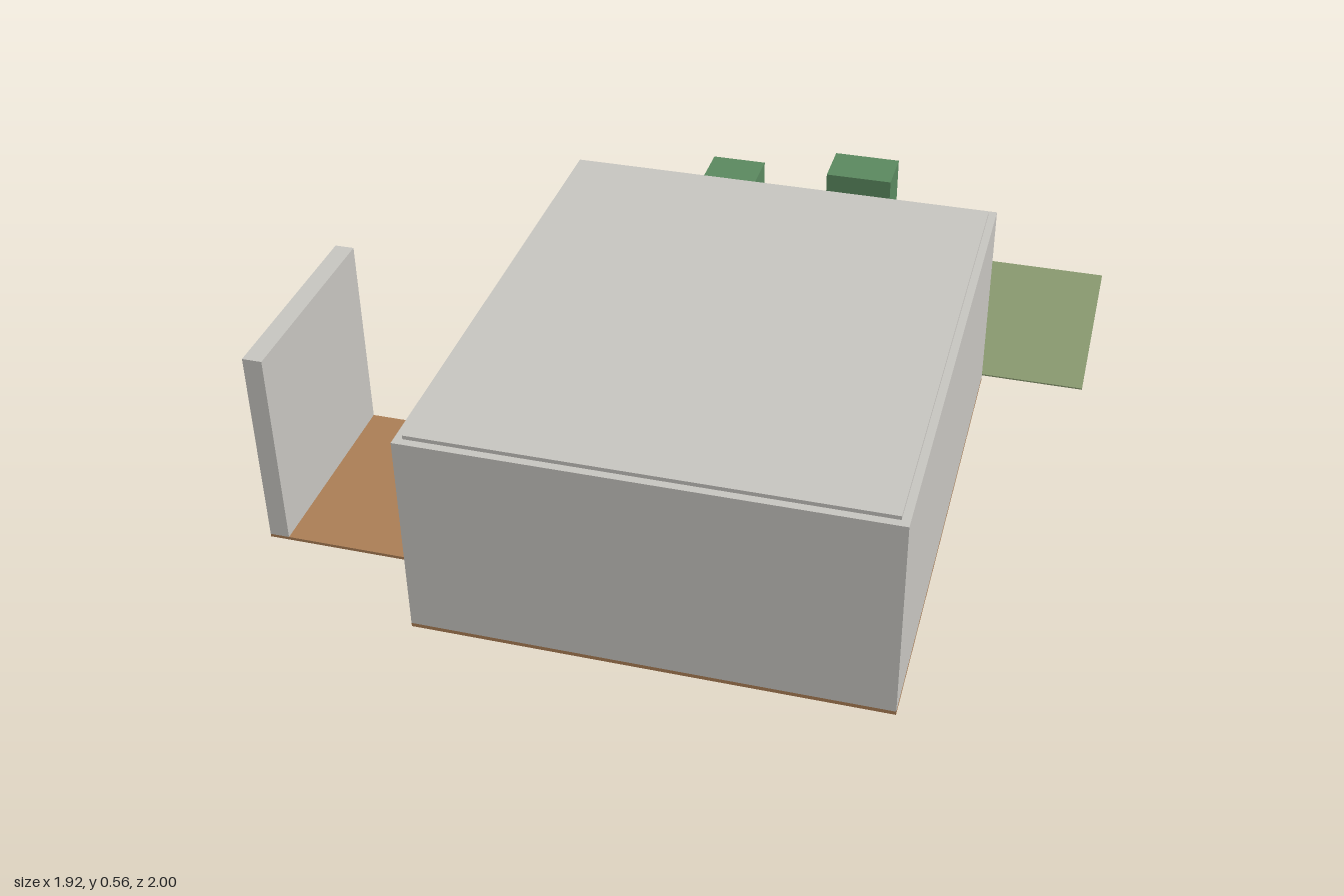
import * as THREE from 'three';

const mat = (name, color) => new THREE.MeshStandardMaterial({ name, color });

export function createModel() {
  const model = new THREE.Group();
  model.name = 'gardenPavilion';
  const plaster = mat('plaster', 0xc9c7c2);
  const wood = mat('wood', 0xad7f56);
  const grass = mat('grass', 0x8a9a70);
  const leaf = mat('leaf', 0x5c8a60);
  const white = mat('cabinetWhite', 0xd8d8d6);
  const dark = mat('darkFitting', 0x4c4a48);

  const WALL = 0.03, FLOOR = 0.01, TOP = 0.545;

  // box given by its min and max on each axis
  function box(name, material, x0, x1, y0, y1, z0, z1, parent = model) {
    const mesh = new THREE.Mesh(new THREE.BoxGeometry(x1 - x0, y1 - y0, z1 - z0), material);
    mesh.position.set((x0 + x1) / 2, (y0 + y1) / 2, (z0 + z1) / 2);
    mesh.name = name;
    parent.add(mesh);
    return mesh;
  }

  // wall outline with doorways cut up from the floor
  function wallWithDoorways(name, u0, u1, doorways) {
    const shape = new THREE.Shape();
    shape.moveTo(u0, FLOOR);
    for (const [a, b, h] of doorways) {
      shape.lineTo(a, FLOOR);
      shape.lineTo(a, h);
      shape.lineTo(b, h);
      shape.lineTo(b, FLOOR);
    }
    shape.lineTo(u1, FLOOR);
    shape.lineTo(u1, TOP);
    shape.lineTo(u0, TOP);
    const mesh = new THREE.Mesh(
      new THREE.ExtrudeGeometry(shape, { depth: WALL, bevelEnabled: false }), plaster);
    mesh.name = name;
    model.add(mesh);
    return mesh;
  }

  // floors and lawn
  box('floor', wood, -0.49, 0.68, 0, FLOOR, -0.365, 1);
  box('terrace', wood, -0.96, -0.49, 0.002, FLOOR, 0.24, 0.78);
  box('lawn', grass, -0.315, 0.96, 0.004, 0.008, -1, -0.38);

  // plain walls
  box('frontWall', plaster, -0.49, 0.68, FLOOR, TOP, 1 - WALL, 1);
  box('leftWall', plaster, 0.68 - WALL, 0.68, FLOOR, TOP, -0.335, 0.97);
  box('terraceWall', plaster, -0.96, -0.91, FLOOR, TOP, 0.24, 0.78);

  // back wall with a door and a row of three tall windows
  wallWithDoorways('backWall', -0.49, 0.68, [
    [-0.375, -0.185, 0.425], [-0.09, 0.04, 0.43], [0.05, 0.175, 0.43], [0.185, 0.31, 0.43],
  ]).position.z = -0.365;
  box('recessedBackPanel', plaster, -0.42, 0.4, FLOOR, 0.53, -0.335, -0.33);

  // right wall opening onto the terrace
  const rightWall = wallWithDoorways('rightWall', -0.335, 0.97, [[0.36, 0.72, 0.42]]);
  rightWall.rotation.y = -Math.PI / 2;
  rightWall.position.x = -0.49 + WALL;

  // roof slab, slightly inset and raised above the walls
  box('roof', plaster, -0.47, 0.66, 0.53, 0.555, -0.345, 0.98);

  // cabinet just inside the terrace opening
  const cabinet = new THREE.Group();
  cabinet.name = 'cabinet';
  model.add(cabinet);
  box('cabinetBody', white, -0.45, -0.08, FLOOR, 0.5, 0.705, 0.8, cabinet);
  for (const x of [-0.39, -0.28, -0.17]) {
    box('cabinetSeam', dark, x - 0.002, x + 0.002, FLOOR, 0.5, 0.702, 0.705, cabinet);
    for (let row = 0; row < 4; row++) {
      const y = 0.09 + row * 0.11;
      for (let i = 0; i < 4; i++) {
        const u = x + 0.02 + i * 0.022;
        box('cabinetDash', dark, u, u + 0.01, y, y + 0.004, 0.702, 0.705, cabinet);
      }
      box('cabinetKnob', dark, x - 0.018, x - 0.008, y + 0.03, y + 0.04, 0.697, 0.705, cabinet);
    }
  }

  // clipped hedges: x range, z range, height
  const hedges = [
    [-0.17, -0.02, -0.63, -0.51, 0.46],
    [0.015, 0.165, -0.56, -0.46, 0.35],
    [0.19, 0.37, -0.62, -0.49, 0.525],
    [0.38, 0.535, -0.55, -0.45, 0.4],
  ];
  for (const [x0, x1, z0, z1, h] of hedges) box('hedge', leaf, x0, x1, 0.008, h, z0, z1);

  return model;
}
